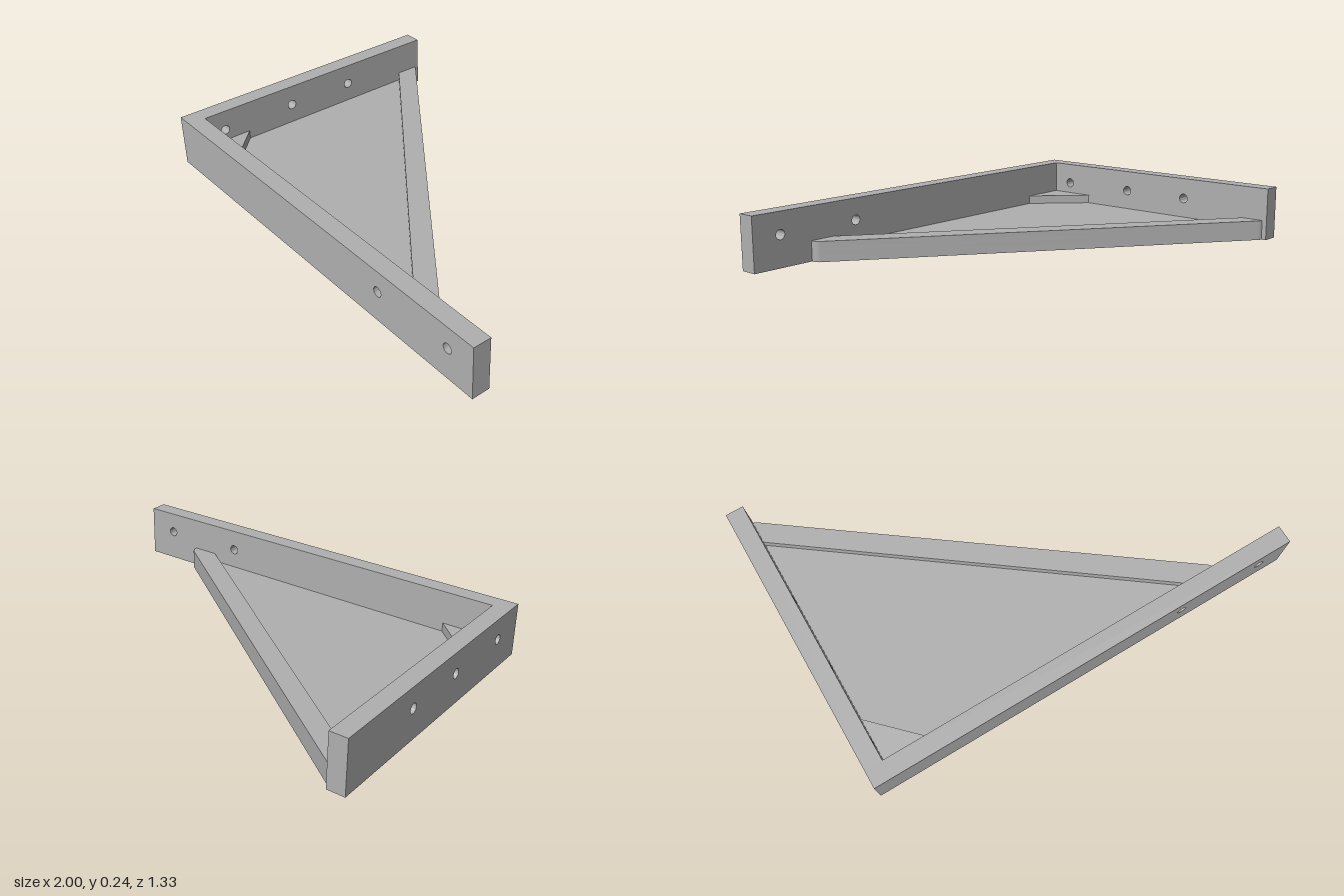
import * as THREE from 'three';
import { toCreasedNormals } from 'three/addons/utils/BufferGeometryUtils.js';

const H = 0.24;        // wall height
const T = 0.08;        // wall thickness
const FLOOR = 0.05;    // floor thickness
const RIM = 0.09;      // height of rim and corner block
const HOLE_Y = 0.142, HOLE_R = 0.022;
const INX = -0.92, INZ = 0.585; // inner faces of the two walls

// Upright plate from a to b with round screw holes
function wallGeometry(a, b, holes) {
  const shape = new THREE.Shape();
  shape.moveTo(a, 0).lineTo(b, 0).lineTo(b, H).lineTo(a, H).closePath();
  for (const u of holes) {
    shape.holes.push(new THREE.Path().absarc(u, HOLE_Y, HOLE_R, 0, Math.PI * 2, true));
  }
  const geo = new THREE.ExtrudeGeometry(shape, { depth: T, bevelEnabled: false, curveSegments: 24 });
  return toCreasedNormals(geo, 0.6);
}

// Flat slab from a plan outline, raised from y0 to y1
function slabGeometry(shape, y0, y1) {
  const geo = new THREE.ExtrudeGeometry(shape, { depth: y1 - y0, bevelEnabled: false, curveSegments: 6 });
  geo.rotateX(-Math.PI / 2).translate(0, y0, 0);
  return toCreasedNormals(geo, 0.6);
}

// Slanted outer edge with rounded ends, in plan (shape y = -z)
function traceOuterEdge(shape) {
  shape.lineTo(0.71, -INZ);
  shape.quadraticCurveTo(0.712, -0.558, 0.695, -0.545);
  shape.lineTo(-0.895, 0.632);
  shape.quadraticCurveTo(-0.907, 0.642, INX, 0.645);
}

export function createModel() {
  const group = new THREE.Group();
  const grey = new THREE.MeshStandardMaterial({ color: 0xb0b0b0 });
  grey.name = 'grey';
  const add = (name, geo) => {
    const mesh = new THREE.Mesh(geo, grey);
    mesh.name = name;
    group.add(mesh);
  };

  // Two walls meeting at a right angle
  add('frontWall', wallGeometry(-1, 1, [0.465, 0.865]).translate(0, 0, INZ));
  add('sideWall', wallGeometry(-0.667, INZ, [0.49, 0.12, -0.215])
    .rotateY(-Math.PI / 2).translate(INX, 0, 0));

  // Triangular floor between the walls
  const floor = new THREE.Shape();
  floor.moveTo(INX, -INZ);
  traceOuterEdge(floor);
  floor.closePath();
  add('floor', slabGeometry(floor, 0, FLOOR));

  // Raised rim along the slanted side
  const rim = new THREE.Shape();
  rim.moveTo(0.59, -INZ);
  traceOuterEdge(rim);
  rim.lineTo(INX, 0.54);
  rim.closePath();
  add('rim', slabGeometry(rim, FLOOR, RIM));

  // Small block in the inner corner
  const block = new THREE.Shape();
  block.moveTo(INX, -INZ).lineTo(-0.7, -INZ).lineTo(INX, -0.365).closePath();
  add('cornerBlock', slabGeometry(block, FLOOR, RIM));

  return group;
}
